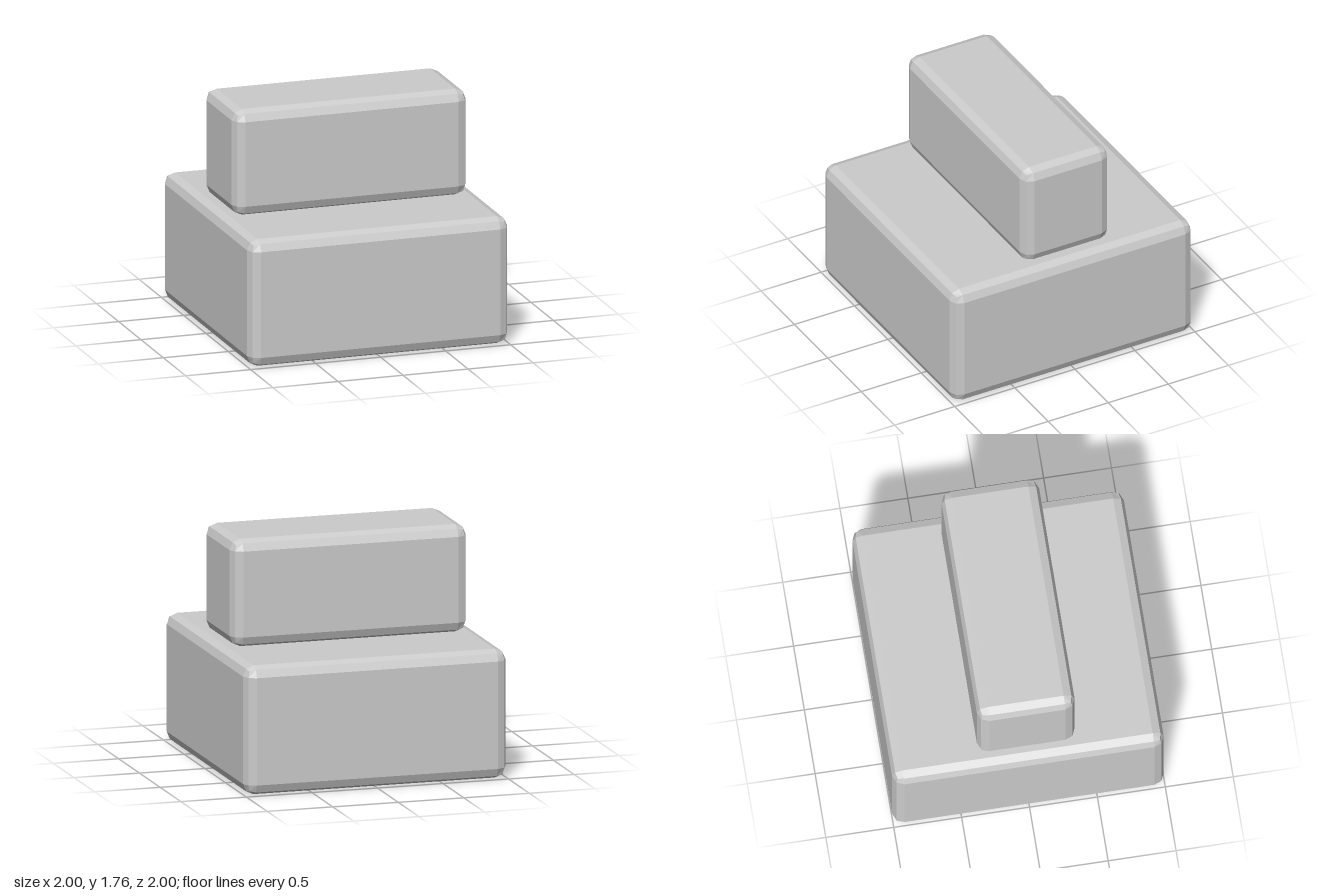
import * as THREE from 'three';
import { RoundedBoxGeometry } from 'three/addons/geometries/RoundedBoxGeometry.js';

const BEVEL = 0.08;
const BASE = { size: 2, height: 0.96 };
const CAVITY = { size: 1.6, depth: 0.6 };
const BLOCK = { width: 1.8, height: 0.8, depth: 0.72 };

// Copy of a geometry without the flat triangles lying in the plane at height y
function withoutFlatFace(geometry, y) {
  const source = geometry.index ? geometry.toNonIndexed() : geometry;
  const p = source.attributes.position;
  const kept = [];
  for (let i = 0; i < p.count; i += 3) {
    const corners = [i, i + 1, i + 2];
    if (corners.every((k) => Math.abs(p.getY(k) - y) < 1e-4)) continue;
    for (const k of corners) kept.push(p.getX(k), p.getY(k), p.getZ(k));
  }
  const result = new THREE.BufferGeometry();
  result.setAttribute('position', new THREE.Float32BufferAttribute(kept, 3));
  result.computeVertexNormals();
  return result;
}

// Points of a centred square
function square(size) {
  const h = size / 2;
  return [[-h, -h], [h, -h], [h, h], [-h, h]].map(([x, y]) => new THREE.Vector2(x, y));
}

export function createModel() {
  const material = new THREE.MeshStandardMaterial({ color: 0xcccccc, flatShading: true });
  const model = new THREE.Group();
  model.name = 'steppedBlock';

  const add = (parent, name, geometry, y) => {
    const mesh = new THREE.Mesh(geometry, material);
    mesh.name = name;
    mesh.position.y = y;
    parent.add(mesh);
  };

  // Hollow base, open underneath
  const base = new THREE.Group();
  base.name = 'base';
  model.add(base);

  const shell = new RoundedBoxGeometry(BASE.size, BASE.height, BASE.size, 1, BEVEL);
  add(base, 'baseShell', withoutFlatFace(shell, -BASE.height / 2), BASE.height / 2);

  // Flat rim around the opening, facing down
  const rim = new THREE.Shape(square(BASE.size - 2 * BEVEL));
  rim.holes.push(new THREE.Path(square(CAVITY.size)));
  add(base, 'baseRim', new THREE.ShapeGeometry(rim).rotateX(Math.PI / 2), 0);

  // Inner walls and ceiling: mirrored in y so the faces look inward
  const box = new THREE.BoxGeometry(CAVITY.size, CAVITY.depth, CAVITY.size);
  const cavity = withoutFlatFace(box, CAVITY.depth / 2).scale(1, -1, 1);
  cavity.computeVertexNormals();
  add(base, 'baseCavity', cavity, CAVITY.depth / 2);

  // Long block resting on the base
  add(
    model,
    'upperBlock',
    new RoundedBoxGeometry(BLOCK.width, BLOCK.height, BLOCK.depth, 1, BEVEL),
    BASE.height + BLOCK.height / 2
  );

  return model;
}
